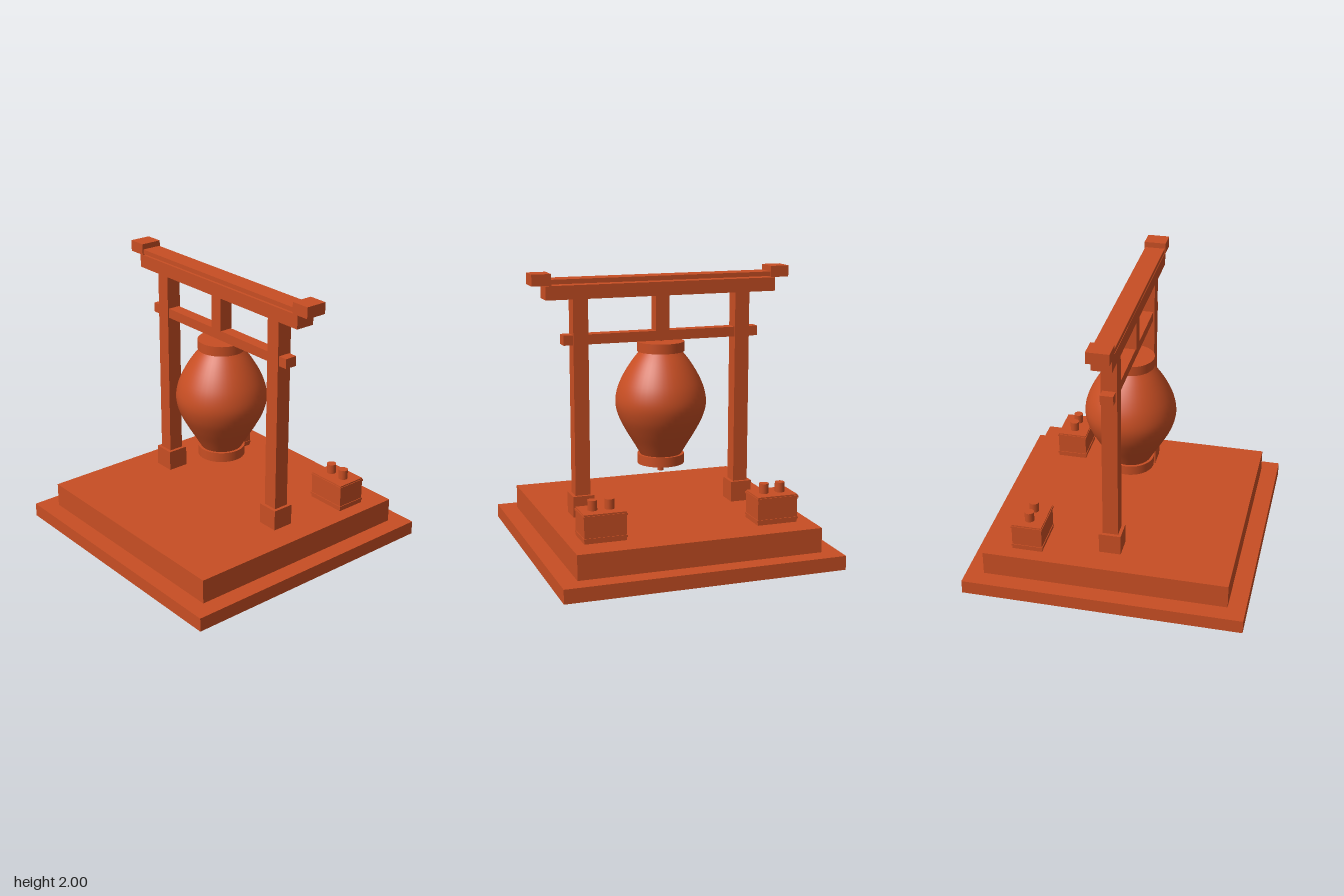
import * as THREE from 'three';

export function createModel() {
  const group = new THREE.Group();
  const vermilion = new THREE.MeshStandardMaterial({ color: 0xc84e23 });
  vermilion.name = 'vermilion';

  const add = (name, geometry, x, y, z) => {
    const mesh = new THREE.Mesh(geometry, vermilion);
    mesh.name = name;
    mesh.position.set(x, y, z);
    group.add(mesh);
  };
  // Box and cylinder given by their bottom and top heights
  const box = (name, w, y0, y1, d, x = 0, z = 0) =>
    add(name, new THREE.BoxGeometry(w, y1 - y0, d), x, (y0 + y1) / 2, z);
  const cylinder = (name, r, y0, y1, sides, x = 0, z = 0) =>
    add(name, new THREE.CylinderGeometry(r, r, y1 - y0, sides), x, (y0 + y1) / 2, z);

  // Stepped base
  box('baseSlab', 1.995, 0, 0.1, 1.995);
  box('platform', 1.744, 0.1, 0.275, 1.744);

  // Gate beams
  box('tieBeam', 1.444, 1.5, 1.57, 0.09);
  box('centreStrut', 0.1, 1.57, 1.82, 0.1);
  box('lintel', 1.694, 1.82, 1.917, 0.14);
  box('topRail', 1.62, 1.928, 1.96, 0.144);

  for (const side of [-1, 1]) {
    // Gate posts and beam ends
    box('post', 0.108, 0.275, 1.82, 0.11, side * 0.6);
    box('postFoot', 0.156, 0.275, 0.425, 0.156, side * 0.6);
    box('beamEnd', 0.137, 1.92, 2, 0.156, side * 0.877);

    // Offering boxes with trim bands and pegs
    const x = side * 0.622, z = -0.575;
    box('offeringBox', 0.295, 0.275, 0.475, 0.215, x, z);
    for (const y of [0.298, 0.45]) box('boxTrim', 0.305, y, y + 0.015, 0.225, x, z);
    for (const dx of [-0.06, 0.06]) cylinder('peg', 0.034, 0.475, 0.545, 12, x + dx, z);
  }

  // Hanging lantern
  const profile = new THREE.SplineCurve([
    [0.145, 0.67], [0.192, 0.75], [0.252, 0.85], [0.302, 0.95], [0.325, 1.05],
    [0.31, 1.15], [0.267, 1.25], [0.205, 1.35], [0.145, 1.425],
  ].map(([r, y]) => new THREE.Vector2(r, y)));
  add('lanternBody', new THREE.LatheGeometry(profile.getPoints(32), 48), 0, 0, 0);
  cylinder('lanternTopRing', 0.168, 1.42, 1.49, 48);
  cylinder('lanternBottomRing', 0.168, 0.605, 0.675, 48);
  cylinder('lanternCord', 0.01, 1.49, 1.5, 8);
  cylinder('lanternTassel', 0.023, 0.545, 0.605, 8);

  return group;
}
